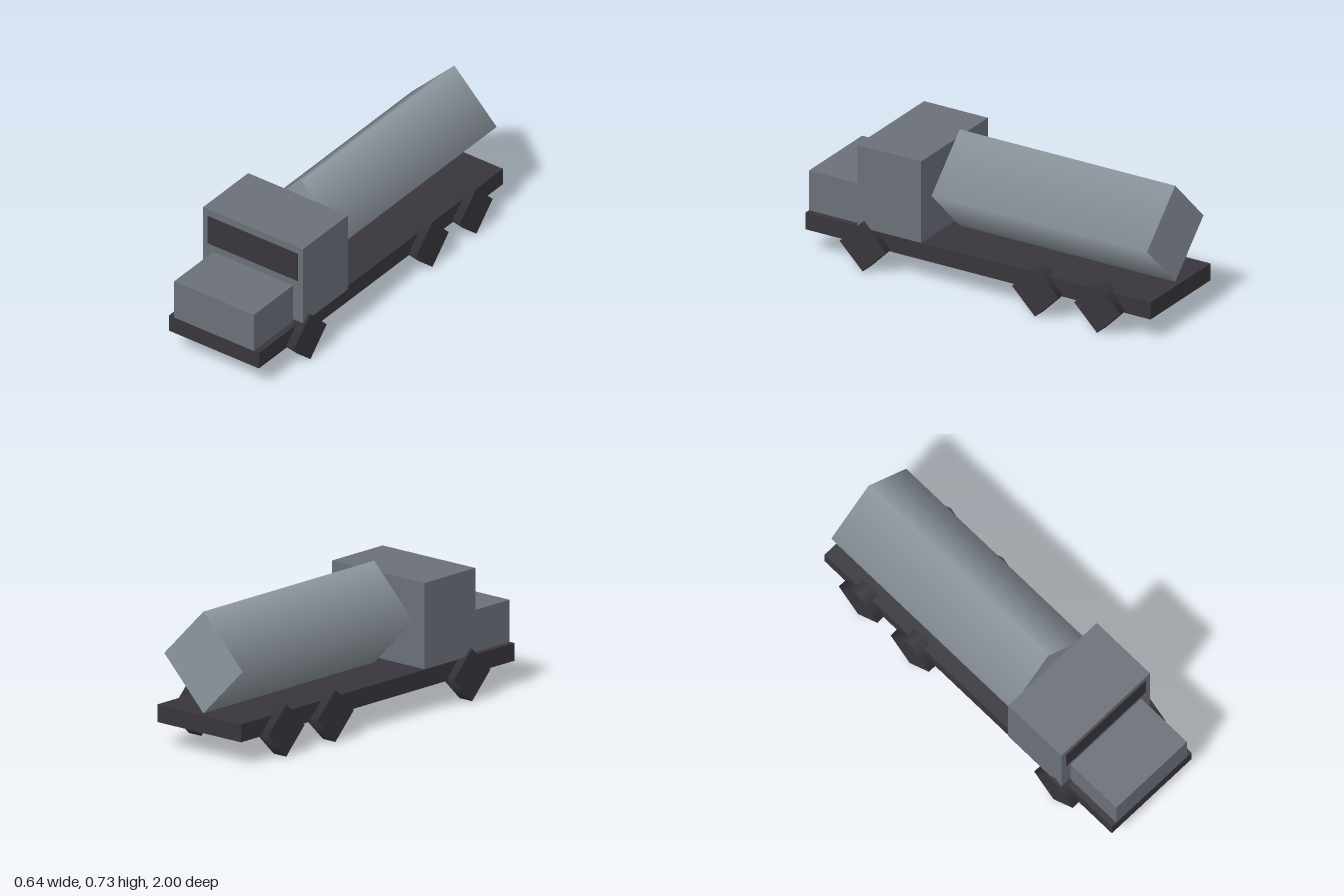
import * as THREE from 'three';

export function createModel() {
  const model = new THREE.Group();
  const mat = (name, color) => {
    const m = new THREE.MeshStandardMaterial({ color });
    m.name = name;
    return m;
  };
  const bodyGrey = mat('body grey', 0x6b7079);
  const tankGrey = mat('tank grey', 0x8d969e);
  const darkGrey = mat('dark grey', 0x38363c);

  const add = (name, geometry, material, x, y, z) => {
    const mesh = new THREE.Mesh(geometry, material);
    mesh.name = name;
    mesh.position.set(x, y, z);
    model.add(mesh);
  };
  // Box centred on x, given by its half width and its y and z limits
  const box = (name, material, hw, y0, y1, z0, z1) =>
    add(name, new THREE.BoxGeometry(hw * 2, y1 - y0, z1 - z0), material, 0, (y0 + y1) / 2, (z0 + z1) / 2);

  box('chassis', darkGrey, 0.275, 0.122, 0.213, -1, 1);
  box('cab', bodyGrey, 0.306, 0.228, 0.667, 0.31, 0.68);
  box('hood', bodyGrey, 0.244, 0.213, 0.427, 0.68, 1);
  box('windscreen', darkGrey, 0.275, 0.468, 0.628, 0.678, 0.684);

  // Four-sided tank standing on its edge, softly shaded around its length
  add('tank', new THREE.CylinderGeometry(0.259, 0.259, 1.25, 4).rotateX(Math.PI / 2), tankGrey, 0, 0.471, -0.345);

  // Four-sided wheels: one front axle, two rear axles
  const wheel = new THREE.CylinderGeometry(0.1335, 0.1335, 0.083, 4).rotateZ(Math.PI / 2);
  for (const [axle, z] of [['front', 0.64], ['middle', -0.36], ['rear', -0.72]]) {
    for (const [side, s] of [['Left', 1], ['Right', -1]]) {
      add(axle + side + 'Wheel', wheel, darkGrey, s * 0.28, 0.1335, z);
    }
  }
  return model;
}
